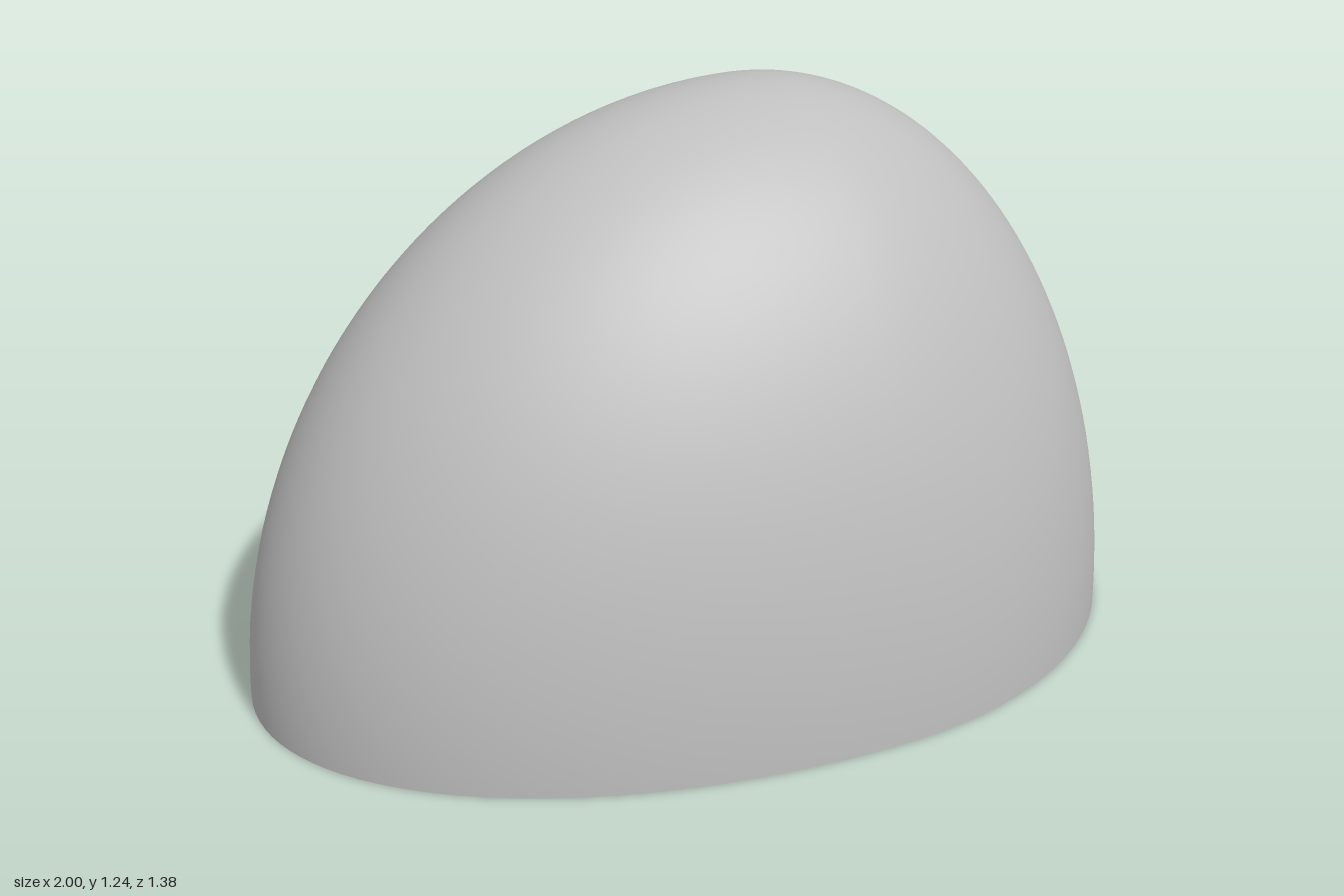
import * as THREE from 'three';

const PEAK_X = 0.16, HEIGHT = 1.237, HALF_DEPTH = 0.688;
const HOLE_X = [-0.2, 0.377], HOLE_R = 0.115, HOLE_DEPTH = 0.4;
const reach = (x) => (x < 0 ? 1 + PEAK_X : 1 - PEAK_X);

// Dome: half sphere stretched further towards -x than towards +x
function domeGeometry() {
  const geo = new THREE.SphereGeometry(1, 128, 48, 0, Math.PI * 2, 0, Math.PI / 2);
  const pos = geo.attributes.position, nor = geo.attributes.normal;
  const n = new THREE.Vector3();
  for (let i = 0; i < pos.count; i++) {
    const x = pos.getX(i), y = pos.getY(i), z = pos.getZ(i), r = reach(x);
    pos.setXYZ(i, PEAK_X + x * r, y * HEIGHT, z * HALF_DEPTH);
    n.set(x / r, y / HEIGHT, z / HALF_DEPTH).normalize();
    nor.setXYZ(i, n.x, n.y, n.z);
  }
  return geo;
}

// Flat underside: the same outline with two round holes
function baseGeometry() {
  const outline = [];
  for (let i = 0; i < 128; i++) {
    const a = (i / 128) * Math.PI * 2, x = Math.cos(a);
    outline.push(new THREE.Vector2(PEAK_X + x * reach(x), Math.sin(a) * HALF_DEPTH));
  }
  const shape = new THREE.Shape(outline);
  for (const x of HOLE_X) {
    shape.holes.push(new THREE.Path().absarc(x, 0, HOLE_R, 0, Math.PI * 2, true));
  }
  return new THREE.ShapeGeometry(shape, 24).rotateX(Math.PI / 2);
}

// Blind hole: inward-facing wall and a flat end, as one lathe each
function holeParts(material) {
  const group = new THREE.Group();
  const wall = new THREE.Mesh(
    new THREE.LatheGeometry([new THREE.Vector2(HOLE_R, HOLE_DEPTH), new THREE.Vector2(HOLE_R, 0)], 48), material);
  wall.name = 'holeWall';
  const end = new THREE.Mesh(new THREE.CircleGeometry(HOLE_R, 48).rotateX(Math.PI / 2), material);
  end.position.y = HOLE_DEPTH;
  end.name = 'holeEnd';
  group.add(wall, end);
  return group;
}

export function createModel() {
  const model = new THREE.Group();
  model.name = 'domedBlock';
  const grey = new THREE.MeshStandardMaterial({ color: 0xbfbfbf });
  grey.name = 'lightGrey';

  const dome = new THREE.Mesh(domeGeometry(), grey);
  dome.name = 'dome';
  const base = new THREE.Mesh(baseGeometry(), grey);
  base.name = 'base';
  model.add(dome, base);

  HOLE_X.forEach((x, i) => {
    const hole = holeParts(grey);
    hole.position.x = x;
    hole.name = i ? 'leftHole' : 'rightHole';
    model.add(hole);
  });
  return model;
}
